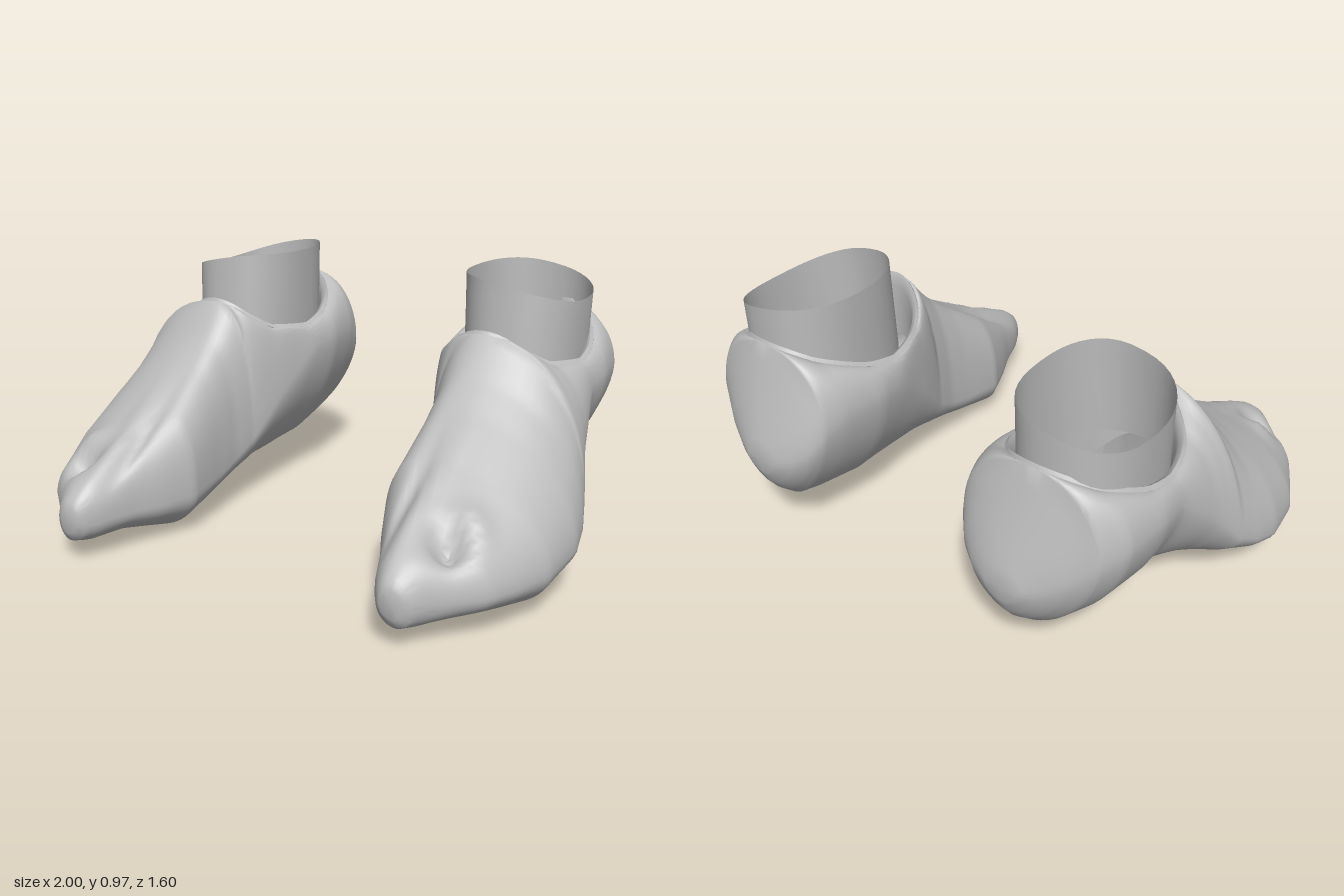
import * as THREE from 'three';
import { toCreasedNormals } from 'three/addons/utils/BufferGeometryUtils.js';

// Foot cross-sections, heel to toe: z, inner x, outer x, bottom, top, ridge x, height of widest point
const SECTIONS = [
  [-0.80, 0.47, 0.59, 0.38, 0.48, 0.53, 0.43],
  [-0.775, 0.40, 0.65, 0.32, 0.56, 0.53, 0.45],
  [-0.74, 0.345, 0.72, 0.27, 0.66, 0.54, 0.49],
  [-0.70, 0.31, 0.78, 0.23, 0.78, 0.55, 0.54],
  [-0.68, 0.30, 0.81, 0.21, 0.84, 0.56, 0.57],
  [-0.60, 0.28, 0.86, 0.185, 0.785, 0.57, 0.60],
  [-0.43, 0.26, 0.88, 0.15, 0.71, 0.57, 0.60],
  [-0.30, 0.28, 0.87, 0.145, 0.68, 0.57, 0.58],
  [-0.12, 0.335, 0.91, 0.13, 0.70, 0.57, 0.42],
  [-0.05, 0.36, 0.935, 0.12, 0.75, 0.56, 0.34],
  [0.00, 0.38, 0.955, 0.11, 0.81, 0.56, 0.28],
  [0.10, 0.40, 0.985, 0.09, 0.685, 0.55, 0.22],
  [0.20, 0.40, 1.00, 0.06, 0.60, 0.55, 0.19],
  [0.38, 0.39, 0.975, 0.005, 0.475, 0.56, 0.17],
  [0.50, 0.44, 0.92, 0.04, 0.40, 0.59, 0.16],
  [0.60, 0.49, 0.87, 0.065, 0.35, 0.61, 0.16],
  [0.73, 0.54, 0.73, 0.07, 0.285, 0.63, 0.16],
  [0.78, 0.57, 0.69, 0.085, 0.245, 0.63, 0.16],
  [0.80, 0.59, 0.66, 0.12, 0.215, 0.63, 0.17],
];
const RIM = { z: -0.34, rx: 0.26, rz: 0.34 };

function sectionAt(z) {
  let i = 0;
  while (i < SECTIONS.length - 2 && z > SECTIONS[i + 1][0]) i++;
  const a = SECTIONS[i], b = SECTIONS[i + 1];
  const t = THREE.MathUtils.clamp((z - a[0]) / (b[0] - a[0]), 0, 1);
  return a.map((v, k) => v + (b[k] - v) * t);
}

const bump = (d, r) => Math.exp(-(d * d) / (r * r));

// Half width of the ankle opening at a given z
function gapAt(z) {
  const t = (z - RIM.z) / RIM.rz;
  return Math.abs(t) < 1 ? RIM.rx * Math.sqrt(1 - t * t) : 0;
}

// Point on the foot skin; v runs from the top over the outer side, the sole and the inner side
function skinPoint(z, v, shrink) {
  const [, xl, xr, yb, yt, xt, yw] = sectionAt(z);
  const front = THREE.MathUtils.smoothstep(z, -0.3, 0.3);
  const xb = 0.53 + 0.11 * front;
  const a = v * Math.PI * 2;
  const s = Math.sin(a), c = Math.cos(a);
  const outer = v <= 0.5, upper = c >= 0;
  const n = upper ? (outer ? 1.9 : 2 + 0.6 * front) : 1.6 + 0.4 * front;
  const sx = Math.pow(Math.abs(s), 2 / n), cy = Math.pow(Math.abs(c), 2 / n);
  const side = outer ? xr : xl;
  const start = upper ? xt + (outer ? 1 : -1) * gapAt(z) : xb;
  let x = start + (side - start) * sx;
  let y = yw + ((upper ? yt : yb) - yw) * cy;
  if (upper && z > 0.1) {
    // Tendon ridges, the groove beside the big toe and the hollow behind the small toes
    const len = bump(z - 0.5, 0.22) * cy;
    y += len * (0.02 * bump(x - 0.60, 0.03) - 0.025 * bump(x - 0.54, 0.025));
    y -= 0.09 * bump(x - 0.72, 0.05) * bump(z - 0.60, 0.055);
    y += 0.03 * bump(x - 0.76, 0.05) * bump(z - 0.52, 0.05);
  }
  if (shrink) {
    x = xt + (x - xt) * 0.01;
    y = yw + (y - yw) * 0.01;
  }
  return [x, y, z];
}

// Surface from rows of points; mirror flips x and keeps the faces outward
function surface(rows, mirror) {
  const w = rows[0].length, pos = [], idx = [];
  rows.forEach(r => r.forEach(([x, y, z]) => pos.push(mirror ? -x : x, y, z)));
  for (let i = 0; i < rows.length - 1; i++) {
    for (let j = 0; j < w - 1; j++) {
      const a = i * w + j, b = a + 1, d = a + w, e = d + 1;
      if (mirror) idx.push(a, b, d, b, e, d);
      else idx.push(a, d, b, b, d, e);
    }
  }
  const g = new THREE.BufferGeometry();
  g.setAttribute('position', new THREE.Float32BufferAttribute(pos, 3));
  g.setIndex(idx);
  return toCreasedNormals(g, 1.0);
}

const range = (n, f) => Array.from({ length: n + 1 }, (_, i) => f(i / n));

function footSkin(mirror) {
  const zs = [
    -0.80, -0.79, -0.775, -0.757, -0.74, -0.72, -0.70,
    ...range(36, t => RIM.z - RIM.rz * Math.cos(t * Math.PI)),
    ...range(40, t => 0.02 + 0.76 * t), 0.79, 0.80,
  ];
  const ring = (z, shrink) => range(56, v => skinPoint(z, v, shrink));
  return surface([ring(-0.80, true), ...zs.map(z => ring(z)), ring(0.80, true)], mirror);
}

// Rolled lip that turns inward and runs down inside the opening
function collar(mirror) {
  const profile = [[1, 0], [0.95, 0.012], [0.89, 0], [0.85, -0.04], [0.83, -0.12], [0.84, -0.25]];
  const rows = profile.map(([k, dy]) => range(56, t => {
    const a = -t * Math.PI * 2;
    const z = RIM.z + RIM.rz * Math.cos(a);
    const s = sectionAt(z);
    const kz = 1 - (1 - k) * 0.35;
    return [s[5] + RIM.rx * k * Math.sin(a), s[4] + dy, RIM.z + RIM.rz * kz * Math.cos(a)];
  }));
  return surface(rows, mirror);
}

// Open ankle sleeve with a sloping, slightly uneven top edge
function sleeve(mirror) {
  const rows = range(6, h => range(40, t => {
    const a = t * Math.PI * 2;
    const c = Math.cos(a), s = Math.sin(a);
    const sq = p => Math.sign(p) * Math.pow(Math.abs(p), 0.85);
    const x = 0.588 + (0.205 + 0.01 * h) * sq(s);
    const z = -0.385 + 0.27 * sq(c) + 0.03 * (1 - h) * Math.max(c, 0);
    const top = 0.975 - 0.19 * (x - 0.37) + 0.025 * c * c;
    return [x, 0.6 + (top - 0.6) * h, z];
  }));
  return surface(rows.reverse(), mirror);
}

export function createModel() {
  const grey = new THREE.MeshStandardMaterial({ color: 0xbcbcbc, side: THREE.DoubleSide });
  grey.name = 'plainGrey';
  const model = new THREE.Group();
  model.name = 'pairOfFeet';
  for (const [name, mirror] of [['leftFoot', false], ['rightFoot', true]]) {
    const foot = new THREE.Group();
    foot.name = name;
    for (const [part, build] of [['footSkin', footSkin], ['collar', collar], ['ankleSleeve', sleeve]]) {
      const mesh = new THREE.Mesh(build(mirror), grey);
      mesh.name = part;
      foot.add(mesh);
    }
    model.add(foot);
  }
  return model;
}
